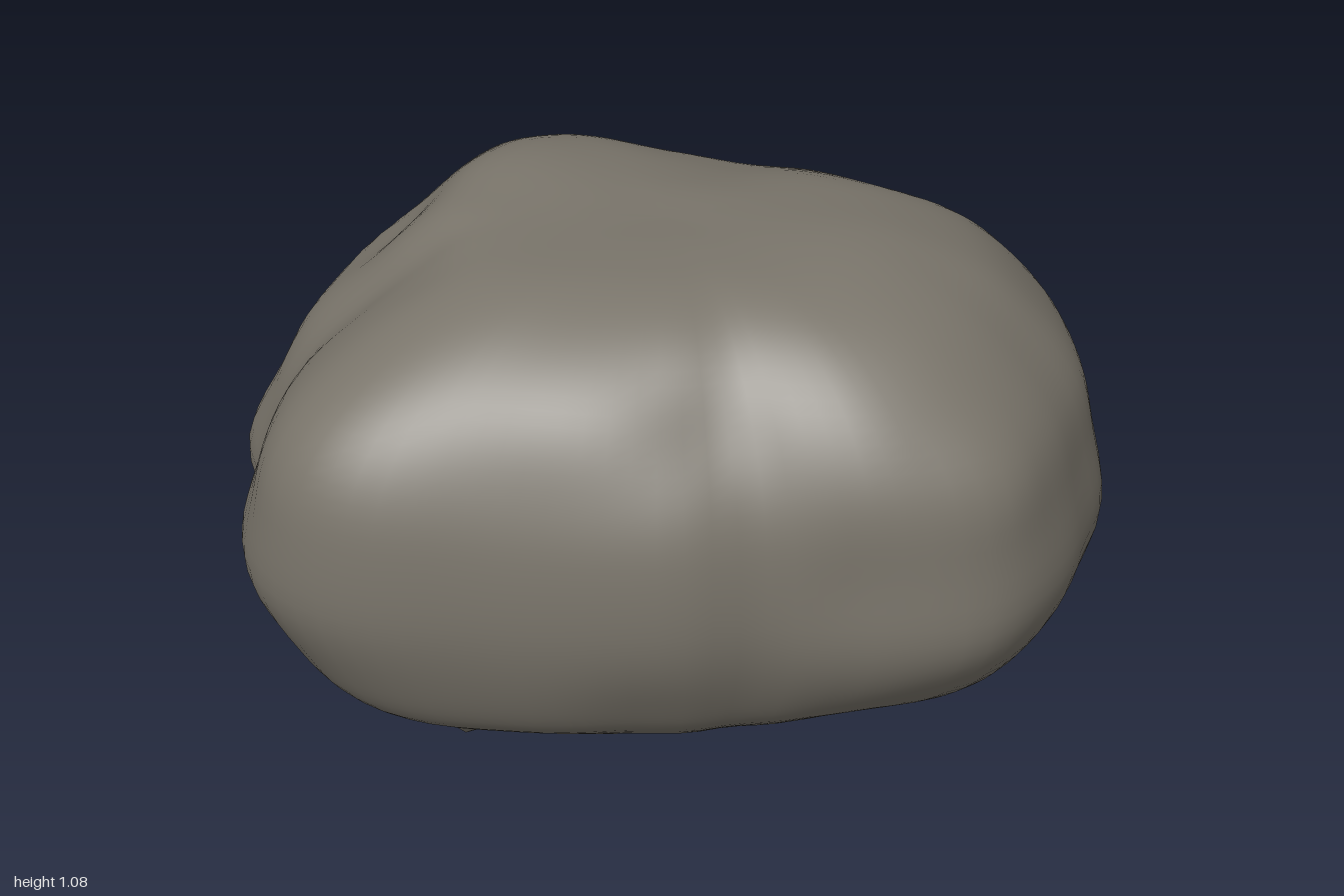
import * as THREE from 'three';

const AROUND = 96, UP = 48;

// widest outline of the boulder, as x, z pairs
const OUTLINE = [
  [1, 0.03], [0.97, 0.2], [0.93, 0.36], [0.83, 0.52], [0.62, 0.65], [0.45, 0.675], [0.28, 0.68],
  [0.15, 0.73], [0, 0.75], [-0.3, 0.755], [-0.54, 0.755], [-0.69, 0.71], [-0.82, 0.6], [-0.905, 0.4],
  [-0.92, 0.2], [-0.98, 0.06], [-1, -0.04], [-0.97, -0.22], [-0.91, -0.4], [-0.8, -0.56],
  [-0.7, -0.68], [-0.52, -0.755], [-0.4, -0.76], [-0.17, -0.73], [0.05, -0.735], [0.27, -0.7],
  [0.45, -0.65], [0.67, -0.56], [0.82, -0.47], [0.89, -0.39], [0.96, -0.2],
];

// heights, and the share of the outline reached there on each side
const HEIGHTS = [0.02, 0.1, 0.22, 0.4, 0.6, 0.75, 0.88, 0.985, 1.045, 1.06, 1.055];
const SIDES = {
  left: [0.63, 0.79, 0.92, 1, 0.97, 0.93, 0.83, 0.7, 0.52, 0.25, 0],
  right: [0.66, 0.82, 0.91, 1, 0.91, 0.83, 0.7, 0.59, 0.48, 0.25, 0],
  front: [0.73, 0.87, 0.95, 1, 0.985, 0.915, 0.81, 0.65, 0.47, 0.25, 0],
  back: [0.69, 0.855, 0.94, 1, 0.98, 0.94, 0.85, 0.72, 0.54, 0.27, 0],
};

// bumps (+) and dents (-): x, y, z, amount, radius
const BUMPS = [
  // top
  [-0.36, 1.06, -0.22, 0.035, 0.18], [0.4, 1.05, 0.07, 0.025, 0.2], [0.1, 1.03, -0.42, -0.045, 0.2],
  [-0.62, 0.9, -0.2, -0.03, 0.15], [-0.52, 0.96, 0.22, -0.025, 0.14],
  // front
  [0.52, 0.5, 0.62, -0.035, 0.16], [0.72, 0.35, 0.55, 0.02, 0.12], [0.05, 0.14, 0.65, -0.03, 0.18],
  [0.15, 0.85, 0.6, -0.02, 0.12], [-0.2, 0.85, 0.55, 0.02, 0.2], [0.5, 0.12, 0.52, -0.055, 0.22],
  // front corner of the right end
  [-0.65, 0.72, 0.58, 0.07, 0.26], [-0.8, 0.58, 0.16, 0.03, 0.14],
  // left end
  [0.5, 0.92, -0.44, -0.045, 0.17], [0.66, 0.74, -0.5, -0.055, 0.17], [0.78, 0.16, -0.28, 0.03, 0.2],
  [0.76, 0.7, 0.5, 0.025, 0.14],
  // back corner of the right end
  [-0.78, 0.16, -0.44, 0.06, 0.22], [-0.72, 0.65, -0.5, -0.015, 0.15],
];

function boulderGeometry() {
  const outline = new THREE.CatmullRomCurve3(OUTLINE.map(([x, z]) => new THREE.Vector3(x, 0, z)), true);
  const profile = (shares) =>
    new THREE.CatmullRomCurve3(shares.map((f, i) => new THREE.Vector3(f, HEIGHTS[i], 0)));
  const { left, right, front, back } = Object.fromEntries(
    Object.entries(SIDES).map(([side, shares]) => [side, profile(shares)]));
  const positions = [], index = [];
  const p = new THREE.Vector3(), middle = new THREE.Vector3(0, 0.5, 0);
  const apex = UP * AROUND;

  for (let i = 0; i < UP; i++) {
    for (let j = 0; j < AROUND; j++) {
      const edge = outline.getPointAt(j / AROUND);
      const wx = edge.x ** 2 / (edge.x ** 2 + (edge.z * 1.32) ** 2);
      const a = (edge.x > 0 ? left : right).getPoint(i / UP);
      const b = (edge.z > 0 ? front : back).getPoint(i / UP);
      const share = THREE.MathUtils.lerp(b.x, a.x, wx);
      p.set(edge.x * share, THREE.MathUtils.lerp(b.y, a.y, wx), edge.z * share);

      // push along the outward direction
      const out = p.clone().sub(middle).normalize();
      let push = 0;
      for (const [x, y, z, amount, radius] of BUMPS) {
        const d2 = (p.x - x) ** 2 + (p.y - y) ** 2 + (p.z - z) ** 2;
        push += amount * Math.exp(-d2 / radius ** 2);
      }
      p.addScaledVector(out, push);

      // ragged rim of the open underside, drawn in at the front left
      if (i === 0) {
        const jag = 0.5 + 0.3 * Math.sin(j * 1.9) + 0.2 * Math.sin(j * 0.7 + 1);
        const corner = Math.exp(-((p.x - 0.3) ** 2 + (p.z - 0.45) ** 2) / 0.35 ** 2);
        const draw = 1.02 - 0.06 * jag - 0.16 * corner;
        p.set(p.x * draw, 0.005 + 0.025 * jag, p.z * draw);
      }
      positions.push(p.x, p.y, p.z);

      const k = i * AROUND + j, n = i * AROUND + (j + 1) % AROUND;
      if (i < UP - 1) index.push(k, k + AROUND, n, n, k + AROUND, n + AROUND);
      else index.push(k, apex, n);
    }
  }
  // one shared point closes the top
  positions.push(0, 1.055, 0);

  const geometry = new THREE.BufferGeometry();
  geometry.setAttribute('position', new THREE.Float32BufferAttribute(positions, 3));
  geometry.setIndex(index);

  // rest on the ground, centred
  geometry.computeBoundingBox();
  const { min, max } = geometry.boundingBox;
  geometry.translate(-(min.x + max.x) / 2, -min.y, -(min.z + max.z) / 2);
  geometry.computeVertexNormals();
  return geometry;
}

export function createModel() {
  const stone = new THREE.MeshStandardMaterial({ color: 0x79746a, side: THREE.DoubleSide });
  stone.name = 'stone';
  const boulder = new THREE.Mesh(boulderGeometry(), stone);
  boulder.name = 'boulder';
  const model = new THREE.Group();
  model.name = 'rock';
  model.add(boulder);
  return model;
}
